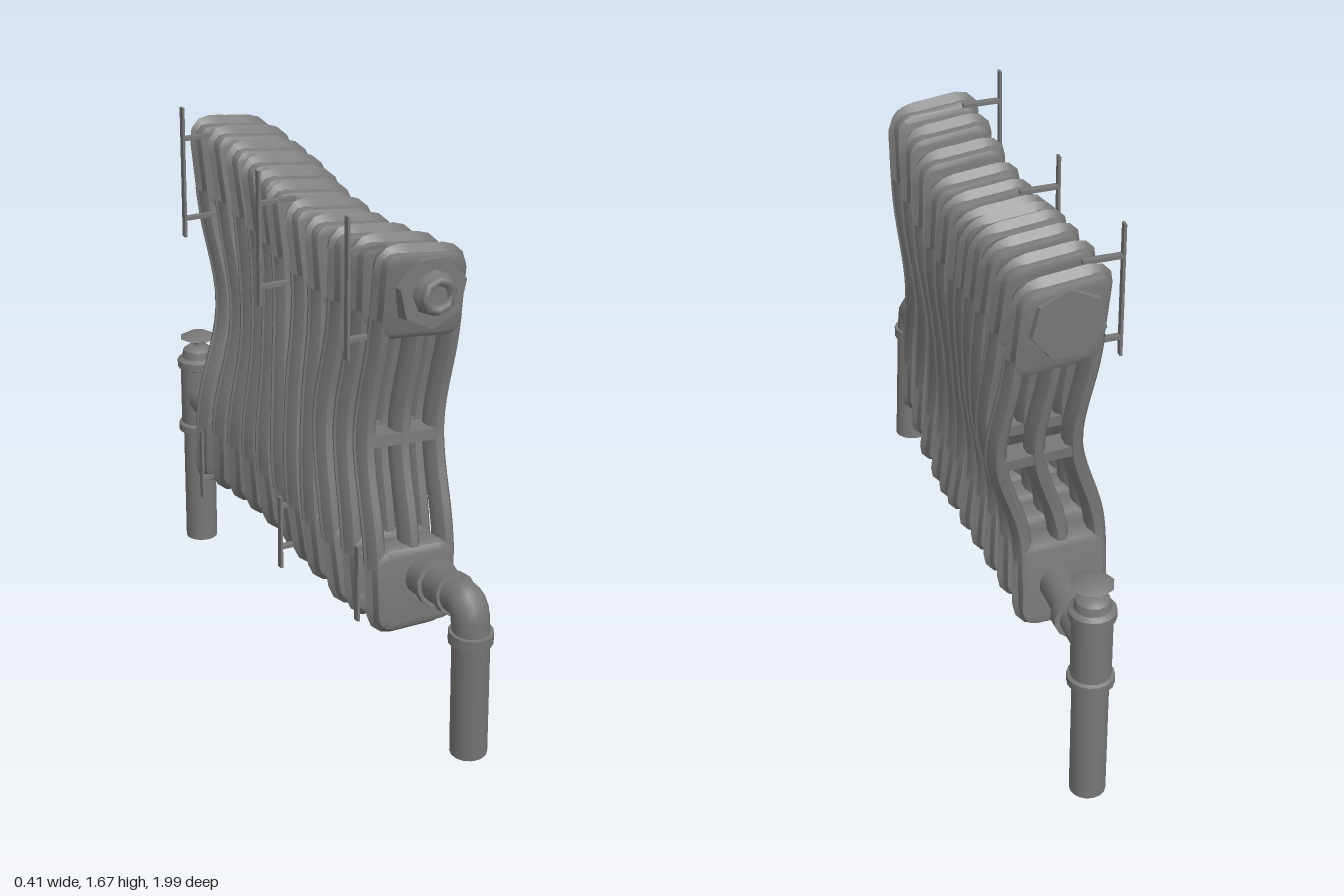
import * as THREE from 'three';
import { toCreasedNormals } from 'three/addons/utils/BufferGeometryUtils.js';

const material = new THREE.MeshStandardMaterial({ color: 0x777777, side: THREE.DoubleSide });
const V = (x, y, z) => new THREE.Vector3(x, y, z);

// depth position of each section at five heights, bottom to top
const SECTION_Z = [
  [0.62, 0.60, 0.52, 0.55, 0.60],
  [0.48, 0.46, 0.40, 0.43, 0.46],
  [0.36, 0.33, 0.27, 0.30, 0.32],
  [0.21, 0.21, 0.19, 0.18, 0.17],
  [0.11, 0.10, 0.08, 0.07, 0.04],
  [0.02, 0.01, -0.02, -0.06, -0.09],
  [-0.11, -0.10, -0.11, -0.14, -0.17],
  [-0.225, -0.20, -0.20, -0.23, -0.26],
  [-0.34, -0.30, -0.30, -0.33, -0.37],
  [-0.455, -0.41, -0.41, -0.46, -0.50],
  [-0.58, -0.53, -0.56, -0.61, -0.63],
];
const TOP = [1.54, 1.53, 1.515, 1.505, 1.515, 1.53, 1.55, 1.57, 1.585, 1.6, 1.6];
const BOTTOM = [0.37, 0.36, 0.34, 0.35, 0.36, 0.375, 0.385, 0.39, 0.39, 0.385, 0.37];
const LAST = SECTION_Z.length - 1;

function mesh(parent, geometry, name) {
  const m = new THREE.Mesh(geometry, material);
  m.name = name;
  parent.add(m);
  return m;
}

// rounded rectangle outline, its sides divided into steps
function outline(x0, y0, x1, y1, r, step) {
  const corners = [[x1 - r, y0 + r], [x1 - r, y1 - r], [x0 + r, y1 - r], [x0 + r, y0 + r]];
  const arc = ([cx, cy], k, j) => {
    const a = (k - 1 + j / 3) * Math.PI / 2;
    return new THREE.Vector2(cx + r * Math.cos(a), cy + r * Math.sin(a));
  };
  return corners.flatMap((c, k) => {
    const pts = [0, 1, 2, 3].map((j) => arc(c, k, j));
    const end = pts[3], next = arc(corners[(k + 1) % 4], k + 1, 0);
    const n = Math.max(1, Math.round(end.distanceTo(next) / step));
    for (let j = 1; j < n; j++) pts.push(end.clone().lerp(next, j / n));
    return pts;
  });
}

// bent centre line of section i, t running from bottom to top
function sectionPoint(i, t) {
  const f = i / LAST;
  const xs = [-0.025 + 0.03 * Math.sin(Math.PI * f), -0.03, -0.02 + 0.075 * f ** 3, 0.005 + 0.02 * f, 0];
  const curve = new THREE.CatmullRomCurve3(xs.map((x, k) => V(x, k, SECTION_Z[i][k])), false, 'catmullrom');
  const p = curve.getPoint(THREE.MathUtils.clamp(t, 0, 1));
  p.y = THREE.MathUtils.lerp(BOTTOM[i], TOP[i], t);
  return p;
}

// move a straight part onto the centre line
function bend(geometry, i) {
  const pos = geometry.attributes.position;
  for (let k = 0; k < pos.count; k++) {
    const x = pos.getX(k), t = (pos.getY(k) - 0.36) / 1.2;
    const c = sectionPoint(i, t);
    pos.setXYZ(k, x + c.x, c.y - 0.12 * x * t, pos.getZ(k) + c.z);
  }
  return toCreasedNormals(geometry, 0.7);
}

function makeSection(i) {
  const section = new THREE.Group();
  section.name = 'radiatorSection';
  // hollow heads at bottom and top
  [[0.4, 0.62, 'bottomHead'], [1.29, 1.52, 'topHead']].forEach(([y0, y1, name]) => {
    const shape = new THREE.Shape(outline(-0.112, y0, 0.112, y1, 0.03, Infinity));
    const g = new THREE.ExtrudeGeometry(shape, { depth: 0.05, bevelSize: 0.02, bevelThickness: 0.02, bevelSegments: 2 });
    mesh(section, bend(g.translate(0, 0, -0.025), i), name);
  });
  // columns
  [-0.114, 0, 0.114].forEach((x) => {
    const g = new THREE.CylinderGeometry(1, 1, 0.75, 8, 16, true).rotateY(Math.PI / 8);
    mesh(section, bend(g.scale(0.03, 1, 0.043).translate(x, 0.955, 0), i), 'column');
  });
  // pointed seam round the rim
  const rim = new THREE.CatmullRomCurve3(outline(-0.12, 0.385, 0.12, 1.535, 0.05, 0.05).map((p) => V(p.x, p.y, 0)), true);
  mesh(section, bend(new THREE.TubeGeometry(rim, 100, 0.027, 4, true), i), 'rimSeam');
  mesh(section, bend(new THREE.BoxGeometry(0.24, 0.035, 0.075, 6, 1, 1).translate(0, 0.95, 0), i), 'crossBar');
  return section;
}

// straight runs joined by short curved corners
function pipe(parent, points, radius, name, round) {
  const path = new THREE.CurvePath();
  let last = points[0];
  for (let k = 1; k < points.length - 1; k++) {
    const p = points[k];
    const a = p.clone().add(points[k - 1].clone().sub(p).setLength(round));
    const b = p.clone().add(points[k + 1].clone().sub(p).setLength(round));
    path.add(new THREE.LineCurve3(last, a));
    path.add(new THREE.QuadraticBezierCurve3(a, p, b));
    last = b;
  }
  path.add(new THREE.LineCurve3(last, points[points.length - 1]));
  mesh(parent, new THREE.TubeGeometry(path, 48, radius, 14), name);
  // closed lower end
  const cap = mesh(parent, new THREE.CircleGeometry(radius, 14), name + 'End');
  cap.position.copy(points[0]);
  cap.lookAt(points[0].clone().sub(path.getTangent(0)));
}

// cylinder between two points
function rod(parent, a, b, r0, r1, sides, name) {
  const g = toCreasedNormals(new THREE.CylinderGeometry(r1, r0, a.distanceTo(b), sides), 0.8);
  const m = mesh(parent, g, name);
  m.position.copy(a).lerp(b, 0.5);
  m.quaternion.setFromUnitVectors(V(0, 1, 0), b.clone().sub(a).normalize());
}

function box(parent, w, h, d, x, y, z, name) {
  mesh(parent, new THREE.BoxGeometry(w, h, d), name).position.set(x, y, z);
}

export function createModel() {
  const model = new THREE.Group();
  model.name = 'radiator';

  SECTION_Z.forEach((_, i) => model.add(makeSection(i)));

  // manifolds running through all the sections
  [[0.865, 0.09, 'upperManifold'], [0.13, 0.068, 'lowerManifold']].forEach(([t, r, name]) => {
    const line = new THREE.CatmullRomCurve3(SECTION_Z.map((_, i) => sectionPoint(i, t)));
    mesh(model, new THREE.TubeGeometry(line, 40, r, 14), name);
  });

  // end plugs
  rod(model, V(0.012, 1.41, 0.6), V(0.012, 1.41, 0.65), 0.115, 0.108, 7, 'frontPlug');
  rod(model, V(0.012, 1.41, 0.645), V(0.012, 1.41, 0.675), 0.07, 0.058, 8, 'plugBoss');
  mesh(model, new THREE.TorusGeometry(0.044, 0.015, 6, 8), 'plugRing').position.set(0.012, 1.41, 0.676);
  rod(model, V(0, 1.46, -0.64), V(0, 1.46, -0.685), 0.12, 0.11, 7, 'backPlug');

  // front feed pipe and its collars
  const feed = [V(0.01, 0.09, 0.9), V(-0.015, 0.5, 0.937), V(-0.02, 0.592, 0.932), V(-0.02, 0.575, 0.8), V(-0.01, 0.535, 0.6)];
  pipe(model, feed, 0.055, 'feedPipe', 0.045);
  rod(model, V(-0.015, 0.47, 0.935), V(-0.015, 0.505, 0.938), 0.065, 0.065, 14, 'feedCollar');
  rod(model, V(-0.015, 0.563, 0.735), V(-0.015, 0.567, 0.755), 0.07, 0.07, 14, 'feedCollar');
  rod(model, V(-0.02, 0.578, 0.835), V(-0.02, 0.583, 0.86), 0.064, 0.064, 14, 'feedCollar');

  // back valve: standing pipe, tee, bonnet and stem, as a turned profile
  const profile = [[0, 0], [0.054, 0], [0.054, 0.41], [0.07, 0.41], [0.07, 0.435], [0.06, 0.44], [0.06, 0.64], [0.07, 0.645],
    [0.07, 0.67], [0.055, 0.68], [0.05, 0.705], [0.03, 0.72], [0.013, 0.72], [0.013, 0.745], [0, 0.745]];
  const valve = new THREE.LatheGeometry(profile.map(([x, y]) => new THREE.Vector2(x, y)), 16);
  mesh(model, toCreasedNormals(valve, 0.7), 'valve').position.set(0, 0, -0.918);
  rod(model, V(0, 0.738, -0.91), V(0, 0.752, -0.91), 0.03, 0.065, 8, 'handwheel');
  rod(model, V(0, 0.752, -0.91), V(0, 0.765, -0.91), 0.065, 0.04, 8, 'handwheel');
  rod(model, V(0, 0.535, -0.91), V(-0.01, 0.515, -0.55), 0.05, 0.055, 14, 'valvePipe');
  rod(model, V(0, 0.527, -0.745), V(0, 0.53, -0.785), 0.064, 0.064, 14, 'valveCollar');

  // wall brackets: upright strips with short pins into the radiator
  [[0.54, 1.63], [-0.015, 1.61], [-0.55, 1.67]].forEach(([z, top]) => {
    box(model, 0.008, 0.42, 0.02, -0.2, top - 0.21, z, 'upperBracket');
    [0.1, 0.36].forEach((d) => box(model, 0.12, 0.012, 0.02, -0.14, top - d, z, 'bracketPin'));
  });
  [[0.55, 0.51], [0.05, 0.46], [-0.53, 0.46]].forEach(([z, y]) => {
    box(model, 0.008, 0.24, 0.02, -0.168, y, z, 'lowerBracket');
    [-0.05, 0.09].forEach((d) => box(model, 0.08, 0.012, 0.02, -0.13, y + d, z, 'bracketPin'));
  });

  return model;
}
